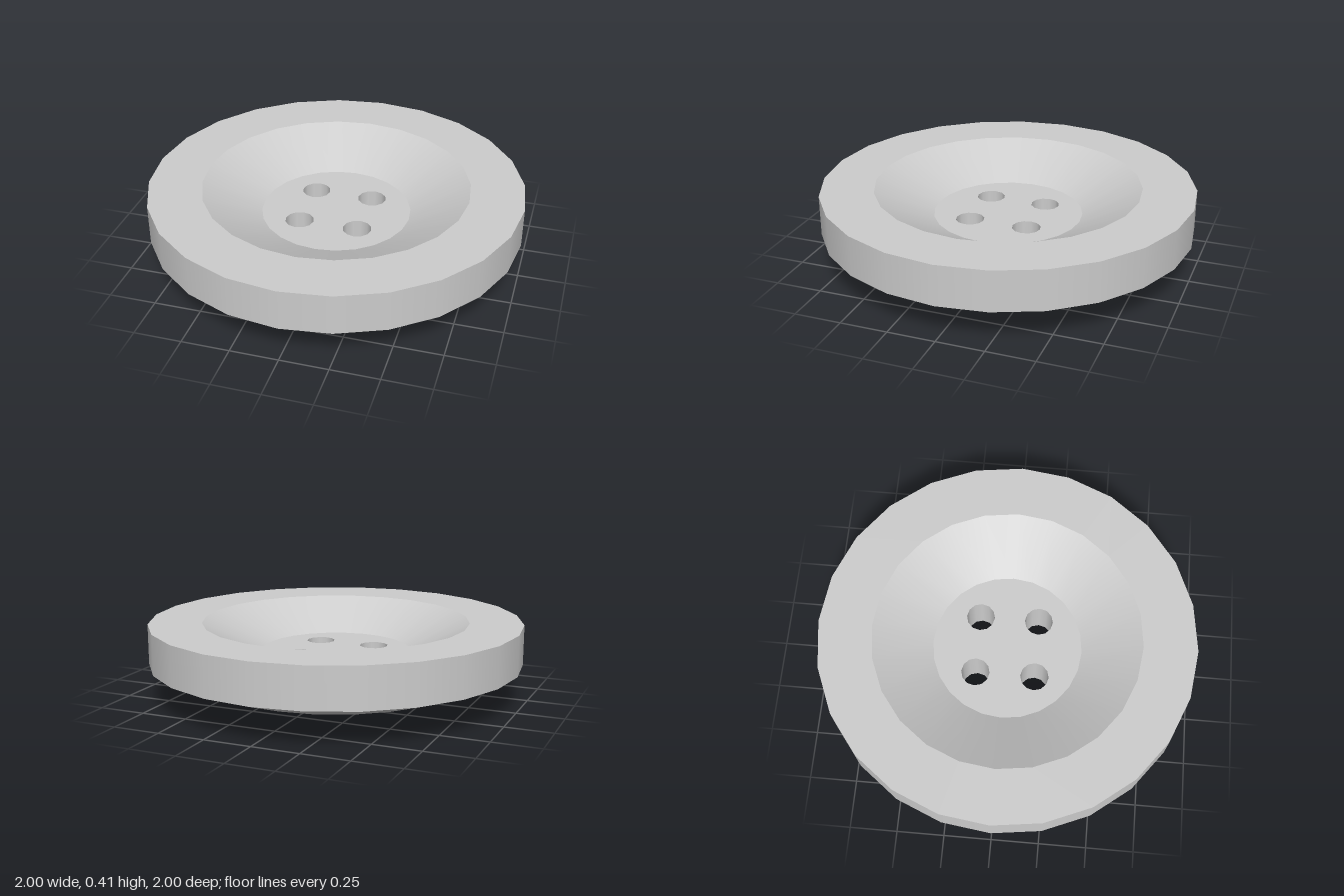
import * as THREE from 'three';

const SIDES = 24, HOLE_SIDES = 12;
const FLOOR_R = 0.4, FLOOR_Y = 0.245;
const HOLE_R = 0.076, HOLE_OFFSET = 0.158;

// Points of a regular polygon, optionally off centre
function polygon(radius, sides, cx = 0, cy = 0) {
  return Array.from({ length: sides }, (_, i) => {
    const a = (i / sides) * Math.PI * 2;
    return new THREE.Vector2(cx + radius * Math.cos(a), cy + radius * Math.sin(a));
  });
}

export function createModel() {
  const group = new THREE.Group();
  group.name = 'button';
  const grey = new THREE.MeshStandardMaterial({ color: 0xcccccc });
  grey.name = 'light grey';

  const add = (name, geometry) => {
    const mesh = new THREE.Mesh(geometry, grey);
    mesh.name = name;
    group.add(mesh);
    return mesh;
  };
  // One smooth band of revolution; separate bands keep the edges between them sharp
  const band = (name, from, to, sides = SIDES) =>
    add(name, new THREE.LatheGeometry([new THREE.Vector2(...from), new THREE.Vector2(...to)], sides));

  // Body, from the underside round the rim and down into the dish
  band('lowerUnderside', [FLOOR_R, 0], [0.7, 0.085]);
  band('upperUnderside', [0.7, 0.085], [1, 0.19]);
  band('rimWall', [1, 0.19], [1, 0.405]);
  band('rimTop', [1, 0.405], [0.715, 0.405]);
  band('dishSlope', [0.715, 0.405], [FLOOR_R, FLOOR_Y]);

  // Flat centre discs pierced by four thread holes
  const disc = new THREE.Shape(polygon(FLOOR_R, SIDES));
  for (const sx of [-1, 1]) {
    for (const sz of [-1, 1]) {
      const x = sx * HOLE_OFFSET, z = sz * HOLE_OFFSET;
      disc.holes.push(new THREE.Path(polygon(HOLE_R, HOLE_SIDES, x, z)));
      // Hole wall, facing inwards
      band('holeWall', [HOLE_R, FLOOR_Y], [HOLE_R, 0], HOLE_SIDES).position.set(x, 0, z);
    }
  }
  add('dishFloor', new THREE.ShapeGeometry(disc).rotateX(-Math.PI / 2)).position.y = FLOOR_Y;
  add('baseDisc', new THREE.ShapeGeometry(disc).rotateX(Math.PI / 2));

  return group;
}
